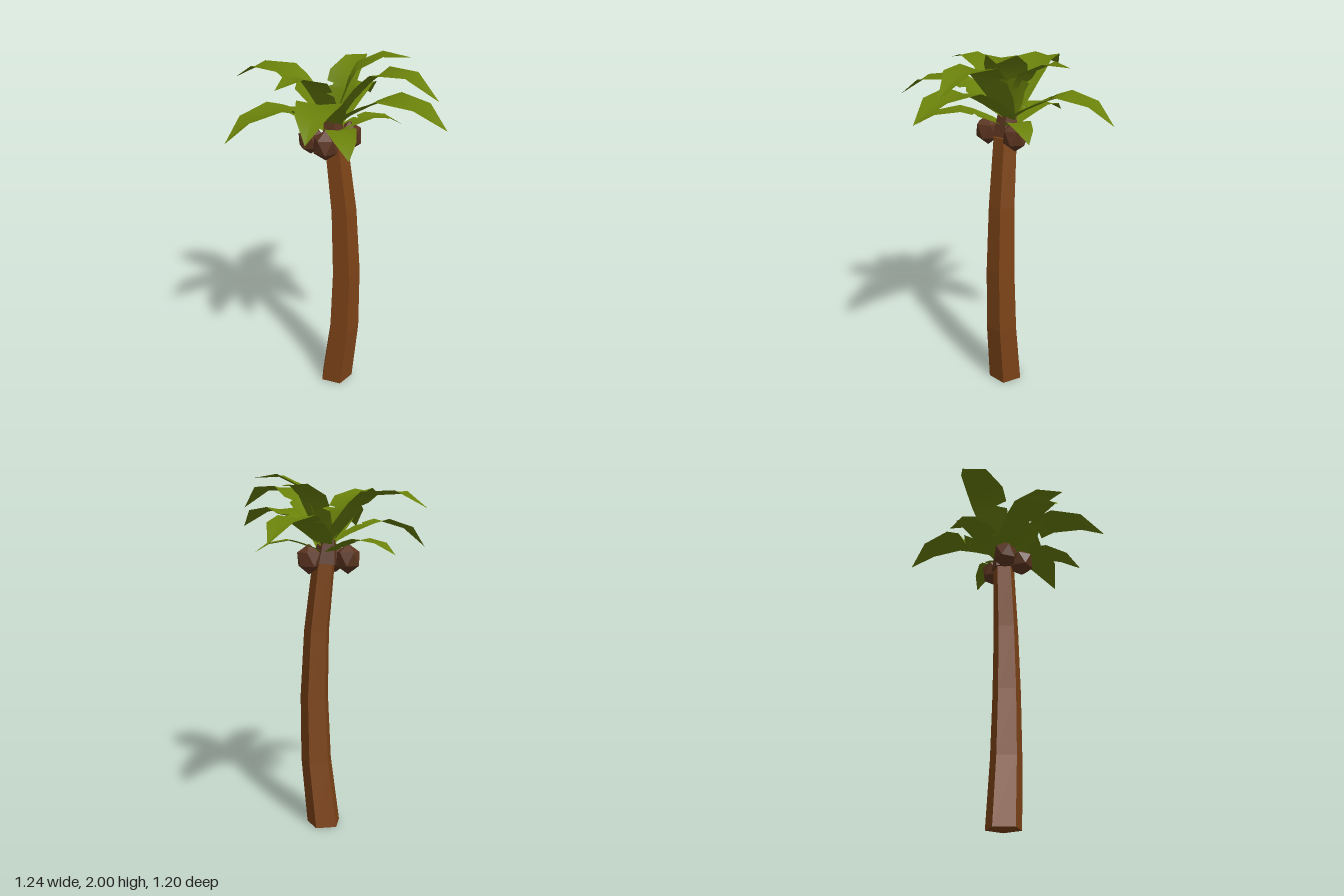
import * as THREE from 'three';

const bark = new THREE.MeshStandardMaterial({ color: 0x7d4418, flatShading: true });
const husk = new THREE.MeshStandardMaterial({ color: 0x5c3520, flatShading: true });
const green = new THREE.MeshStandardMaterial({ color: 0x6b820a, side: THREE.DoubleSide });

function add(parent, name, geometry, material, x = 0, y = 0, z = 0) {
  const mesh = new THREE.Mesh(geometry, material);
  mesh.name = name;
  mesh.position.set(x, y, z);
  parent.add(mesh);
  return mesh;
}

// Five-sided trunk, each ring moved and scaled to follow the bend: [centre x, radius]
function trunkGeometry() {
  const rings = [[-0.015, 0.1], [0.033, 0.092], [0.045, 0.084], [0.03, 0.075], [-0.014, 0.066]];
  const height = 1.53;
  const geometry = new THREE.CylinderGeometry(1, 1, 1, 5, 4, false, Math.PI);
  const p = geometry.attributes.position;
  for (let i = 0; i < p.count; i++) {
    const t = p.getY(i) + 0.5;
    const [cx, r] = rings[Math.round(t * 4)];
    p.setXYZ(i, cx + p.getX(i) * r, t * height, p.getZ(i) * r);
  }
  geometry.computeVertexNormals();
  return geometry;
}

// Arched frond along +x, with a slit in its left edge: [distance, height, left, right]
const frondTip = new THREE.Vector2(0.61, 0.08);
function frondGeometry() {
  const rows = [
    [0, 0, 0.045, 0.045],
    [0.1, 0.08, 0.085, 0.085],
    [0.2, 0.142, 0.105, 0.105],
    [0.225, 0.156, 0.035, 0.11],
    [0.235, 0.161, 0.112, 0.112],
    [0.31, 0.195, 0.115, 0.115],
    [0.48, 0.175, 0.08, 0.08],
    [frondTip.x, frondTip.y, 0, 0],
  ];
  const points = [], faces = [];
  rows.forEach(([x, y, left, right], i) => {
    points.push(x, y, -left, x, y - 0.014 * Math.sign(left), 0, x, y, right);
    if (i === 0) return;
    for (let j = 0; j < 2; j++) {
      const a = (i - 1) * 3 + j, b = a + 3;
      if (i < rows.length - 1) faces.push(a, a + 1, b, a + 1, b + 1, b);
      else faces.push(a, a + 1, b + 1);
    }
  });
  const geometry = new THREE.BufferGeometry();
  geometry.setAttribute('position', new THREE.Float32BufferAttribute(points, 3));
  geometry.setIndex(faces);
  geometry.computeVertexNormals();
  return geometry;
}

export function createModel() {
  const palm = new THREE.Group();
  palm.name = 'palmTree';

  add(palm, 'trunk', trunkGeometry(), bark);

  // Crown stub the fronds grow from
  const stub = add(palm, 'crownStub', new THREE.CylinderGeometry(0.05, 0.074, 0.13, 5, 1, false, Math.PI),
    husk, -0.028, 1.593, 0);
  stub.rotation.z = 0.12;

  // Coconuts hanging around the top of the trunk, each with a corner pointing down
  const nut = new THREE.IcosahedronGeometry(0.083, 0).rotateZ(0.5536);
  [[-0.025, 0.113], [-0.138, 0.045], [0.037, -0.08]].forEach(([x, z], i) => {
    const coconut = add(palm, 'coconut', nut, husk, x, 1.552, z);
    coconut.scale.set(0.88, 1, 0.88);
    coconut.rotation.y = i * 1.9;
  });

  // Fronds: each is turned, tilted and scaled so that its tip lands on x, y, z: [x, y, z, arch, width]
  const frond = frondGeometry();
  const tips = [
    // low, small
    [0.27, 1.59, -0.265, 0.75, 0.85], [0.215, 1.6, 0.42, 0.75, 0.85], [-0.485, 1.59, -0.13, 0.7, 0.85],
    // middle, large
    [-0.02, 1.65, -0.6, 1.02, 1], [0.62, 1.72, 0.17, 0.92, 0.95], [0.07, 1.72, 0.6, 1.05, 1],
    [-0.44, 1.61, 0.43, 1, 0.92],
    // high, large
    [0.55, 1.83, 0.075, 1.4, 1], [-0.62, 1.82, -0.05, 1.17, 0.95],
    // high, small
    [0.03, 1.93, -0.375, 1.05, 1], [0.35, 1.985, -0.13, 1.15, 1.1], [-0.165, 1.9, 0.405, 1.1, 1],
  ];
  tips.forEach(([x, y, z, arch, width], i) => {
    const base = new THREE.Vector3(-0.03, i < 3 ? 1.58 : 1.625, -0.01);
    const d = new THREE.Vector3(x, y, z).sub(base);
    const tip = new THREE.Vector2(frondTip.x, frondTip.y * arch);
    const leaf = add(palm, 'frond', frond, green, base.x, base.y, base.z);
    leaf.rotation.order = 'YZX';
    leaf.rotation.y = Math.atan2(-d.z, d.x);
    leaf.rotation.z = Math.atan2(d.y, Math.hypot(d.x, d.z)) - tip.angle();
    leaf.scale.set(1, arch, width).multiplyScalar(d.length() / tip.length());
  });

  return palm;
}
